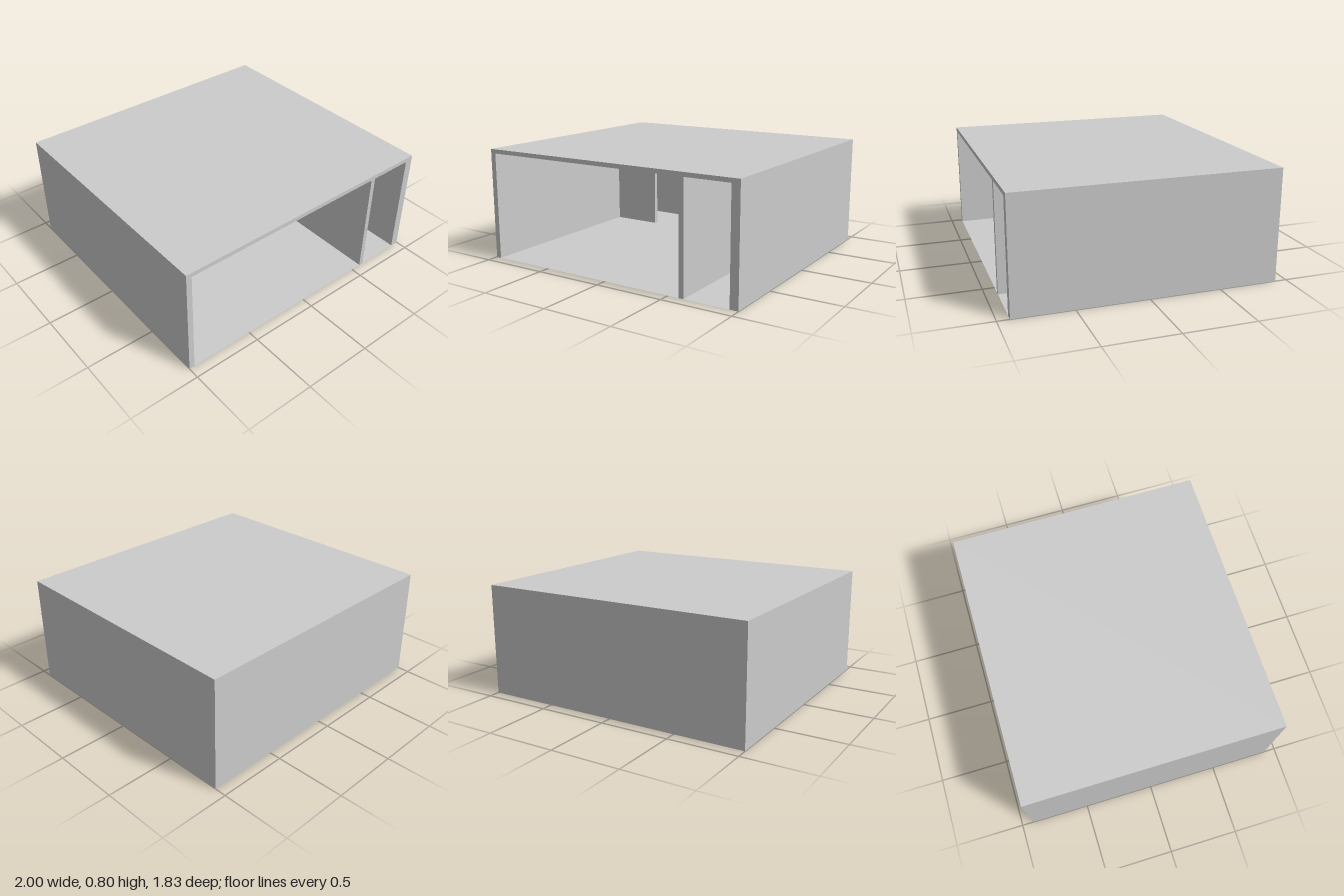
import * as THREE from 'three';

const H = 0.8, CEIL = 0.77, DOOR = 0.63, Z = 0.917;
// wall lines: side walls, back wall, and the two partitions
const LEFT = -0.96, RIGHT = 0.94, BACK = -0.88;
const PX0 = 0.58, PX1 = 0.615, PZ0 = -0.55, PZ1 = -0.515;
// doorways: one in the rear partition (along x), one in the side partition (along z)
const DX0 = -0.58, DX1 = -0.3, DZ0 = -0.18, DZ1 = 0.08;

const material = new THREE.MeshStandardMaterial({ color: 0xcccccc, side: THREE.DoubleSide });

const polygon = (points) => new THREE.Shape(points.map(([x, y]) => new THREE.Vector2(x, y)));
const rect = (x0, x1, y0, y1) => [[x0, y0], [x1, y0], [x1, y1], [x0, y1]];

export function createModel() {
  const model = new THREE.Group();

  const add = (name, shape) => {
    const mesh = new THREE.Mesh(new THREE.ShapeGeometry(shape), material);
    mesh.name = name;
    model.add(mesh);
    return mesh;
  };

  // horizontal sheet from a plan outline in (x, z); up = true faces upward
  const sheet = (name, plan, y, up) => {
    const mesh = add(name, polygon(plan.map(([x, z]) => [x, up ? -z : z])));
    mesh.rotation.x = up ? -Math.PI / 2 : Math.PI / 2;
    mesh.position.y = y;
  };

  // upright sheet from a to b in plan, facing right of travel; door = [start, end] along it
  const wall = (name, [ax, az], [bx, bz], height, door) => {
    const length = Math.hypot(bx - ax, bz - az);
    const outline = [[0, 0]];
    if (door) outline.push([door[0], 0], [door[0], DOOR], [door[1], DOOR], [door[1], 0]);
    outline.push([length, 0], [length, height], [0, height]);
    const mesh = add(name, polygon(outline));
    mesh.position.set(ax, 0, az);
    mesh.rotation.y = Math.atan2(az - bz, bx - ax);
  };

  // outer shell
  sheet('roof', rect(-1, 1, -Z, Z), H, true);
  wall('outerRightWall', [1, Z], [1, -Z], H);
  wall('outerBackWall', [1, -Z], [-1, -Z], H);
  wall('outerLeftWall', [-1, -Z], [-1, Z], H);

  // front edge of the walls and roof around the two openings
  const front = add('frontFrame', polygon([
    [-1, 0], [LEFT, 0], [LEFT, CEIL], [PX0, CEIL], [PX0, 0], [PX1, 0],
    [PX1, CEIL], [RIGHT, CEIL], [RIGHT, 0], [1, 0], [1, H], [-1, H],
  ]));
  front.position.z = Z;

  // floors and ceilings of the main room and the L-shaped passage
  const room = rect(LEFT, PX0, PZ1, Z);
  const passage = [[LEFT, BACK], [RIGHT, BACK], [RIGHT, Z], [PX1, Z], [PX1, PZ0], [LEFT, PZ0]];
  for (const [name, plan] of [['room', room], ['passage', passage]]) {
    sheet(name + 'Floor', plan, 0, true);
    sheet(name + 'Ceiling', plan, CEIL, false);
  }

  // main room walls
  wall('roomLeftWall', [LEFT, Z], [LEFT, PZ1], CEIL);
  wall('roomBackWall', [LEFT, PZ1], [PX0, PZ1], CEIL, [DX0 - LEFT, DX1 - LEFT]);
  wall('roomRightWall', [PX0, PZ1], [PX0, Z], CEIL, [DZ0 - PZ1, DZ1 - PZ1]);

  // passage walls
  wall('passageEndWall', [LEFT, PZ0], [LEFT, BACK], CEIL);
  wall('passageBackWall', [LEFT, BACK], [RIGHT, BACK], CEIL);
  wall('passageRightWall', [RIGHT, BACK], [RIGHT, Z], CEIL);
  wall('passageSideWall', [PX1, Z], [PX1, PZ0], CEIL, [Z - DZ1, Z - DZ0]);
  wall('passageFrontWall', [PX1, PZ0], [LEFT, PZ0], CEIL, [PX1 - DX1, PX1 - DX0]);

  // doorway linings
  const rearDoor = rect(DX0, DX1, PZ0, PZ1), sideDoor = rect(PX0, PX1, DZ0, DZ1);
  for (const [name, plan] of [['rearDoor', rearDoor], ['sideDoor', sideDoor]]) {
    sheet(name + 'Sill', plan, 0, true);
    sheet(name + 'Head', plan, DOOR, false);
  }
  wall('rearDoorJamb', [DX0, PZ1], [DX0, PZ0], DOOR);
  wall('rearDoorJamb', [DX1, PZ0], [DX1, PZ1], DOOR);
  wall('sideDoorJamb', [PX0, DZ0], [PX1, DZ0], DOOR);
  wall('sideDoorJamb', [PX1, DZ1], [PX0, DZ1], DOOR);

  return model;
}
